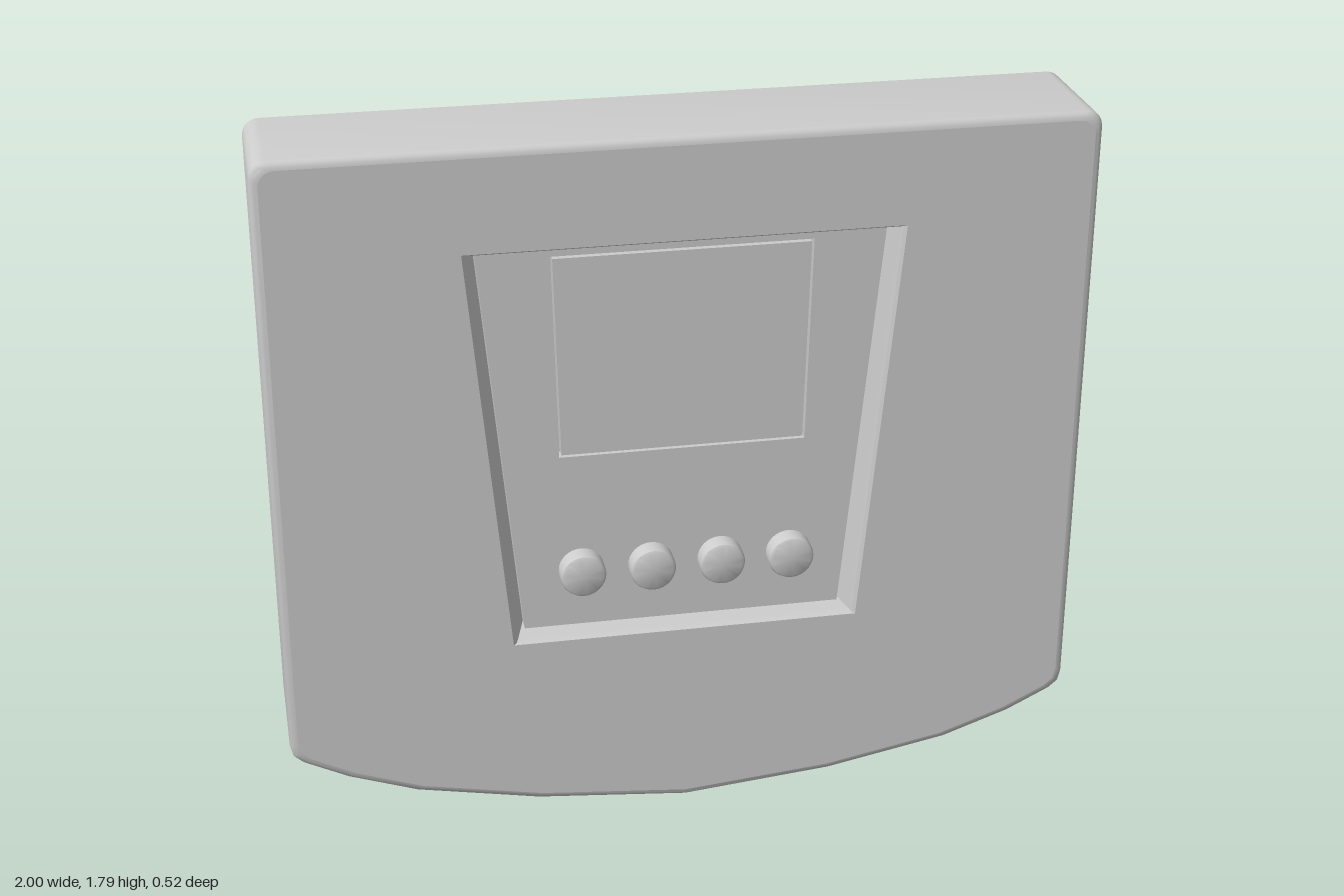
import * as THREE from 'three';
import { toCreasedNormals } from 'three/addons/utils/BufferGeometryUtils.js';

const material = new THREE.MeshStandardMaterial({ color: 0xcccccc, side: THREE.DoubleSide });

function add(group, name, geometry) {
  const mesh = new THREE.Mesh(geometry, material);
  mesh.name = name;
  group.add(mesh);
  return mesh;
}

// Housing outline: bowed bottom edge, straight sides, rounded top corners
function outline(w, bottom, top, r = 0.04) {
  const right = [[0.38, 0.035], [0.69, 0.095], [0.86, 0.155], [0.97, 0.21], [0.993, 0.23], [1, 0.26]]
    .map(([x, y]) => [x * w, bottom + y * w]);
  for (let i = 0; i <= 5; i++) {
    const a = (i / 5) * Math.PI / 2;
    right.push([w - r + r * Math.cos(a), top - r + r * Math.sin(a)]);
  }
  const left = right.map(([x, y]) => [-x, y]).reverse();
  return [[0, bottom], ...right, ...left];
}
const inset = (d) => outline(1 - d, d, 1.79 - d);

// Tapered window outline, grown outwards by d
const windowOutline = (d) => [
  [-0.4 - d, 0.51 - d * 0.4], [0.4 + d, 0.51 - d * 0.4],
  [0.495 + d, 1.52 + d * 0.5], [-0.495 - d, 1.52 + d * 0.5],
];

// Skin joining closed cross-sections, given as [points, z] from front to back
function loft(rings) {
  const n = rings[0][0].length;
  const positions = [], index = [];
  for (const [points, z] of rings) for (const [x, y] of points) positions.push(x, y, z);
  for (let i = 0; i < rings.length - 1; i++) {
    for (let j = 0; j < n; j++) {
      const k = (j + 1) % n;
      const a = i * n + j, b = i * n + k, c = b + n, d = a + n;
      index.push(a, d, c, a, c, b);
    }
  }
  const g = new THREE.BufferGeometry();
  g.setAttribute('position', new THREE.Float32BufferAttribute(positions, 3));
  g.setIndex(index);
  return toCreasedNormals(g, 0.5);
}

function shapeOf(points, hole) {
  const toVectors = (p) => p.map(([x, y]) => new THREE.Vector2(x, y));
  const shape = new THREE.Shape(toVectors(points));
  if (hole) shape.holes.push(new THREE.Path(toVectors(hole)));
  return shape;
}

// Quarter-round edge running from inset d + r at zFront to inset d at zFront - r
function roundedEdge(d, r, zFront) {
  const rings = [];
  for (let i = 0; i <= 4; i++) {
    const a = (i / 4) * Math.PI / 2;
    rings.push([inset(d + r - r * Math.sin(a)), zFront - r + r * Math.cos(a)]);
  }
  return rings;
}

export function createModel() {
  const group = new THREE.Group();
  group.name = 'controlUnit';
  const front = 0.26, floor = 0.215, back = -0.06, panelZ = 0.205, panelBack = 0.165;

  // Outer skin, back ledge and thin rear collar
  add(group, 'housing', loft([
    ...roundedEdge(0, 0.02, front),
    [inset(0), back],
    [outline(0.84, 0.14, 1.64), back],
  ]));
  add(group, 'rearCollar', loft([
    [outline(0.84, 0.14, 1.64), back],
    [outline(0.84, 0.14, 1.63), -0.26],
  ]));

  // Front face and the inside of the hollow
  const face = add(group, 'frontFace', new THREE.ShapeGeometry(shapeOf(inset(0.02), windowOutline(0.035))));
  face.position.z = front;
  add(group, 'innerWall', loft([...roundedEdge(0.035, 0.03, floor), [inset(0.035), back]]));
  const inner = add(group, 'innerFace', new THREE.ShapeGeometry(shapeOf(inset(0.065), windowOutline(0.025))));
  inner.position.z = floor;

  // Sloping walls of the recess
  add(group, 'recessWall', loft([
    [windowOutline(0.035), front],
    [windowOutline(0.027), front - 0.006],
    [windowOutline(0.022), front - 0.02],
    [windowOutline(0), panelBack],
  ]));

  // Recessed panel with a screen set in a fine groove
  const screen = (d) => [[-0.305 + d, 0.975 + d], [0.305 - d, 0.975 + d], [0.318 - d, 1.498 - d], [-0.318 + d, 1.498 - d]];
  const slab = { depth: panelZ - panelBack, bevelEnabled: false };
  const panel = add(group, 'panel', new THREE.ExtrudeGeometry(shapeOf(windowOutline(0), screen(0)), slab));
  panel.position.z = panelBack;
  const display = add(group, 'screen', new THREE.ExtrudeGeometry(shapeOf(screen(0.006)), slab));
  display.position.z = panelBack;
  const grooveFloor = add(group, 'screenGroove', new THREE.ShapeGeometry(shapeOf(screen(0))));
  grooveFloor.position.z = panelBack + 0.004;

  // Row of push buttons with rounded rims
  const profile = [[0, 0], [0.057, 0], [0.057, 0.077], [0.054, 0.084], [0.047, 0.088], [0, 0.088]]
    .map(([x, y]) => new THREE.Vector2(x, y));
  const buttonGeometry = toCreasedNormals(new THREE.LatheGeometry(profile, 32), 0.6);
  for (let i = 0; i < 4; i++) {
    const button = add(group, 'button' + (i + 1), buttonGeometry);
    button.rotation.x = Math.PI / 2;
    button.position.set(-0.255 + i * 0.175, 0.665, panelBack - 0.001);
  }
  return group;
}
